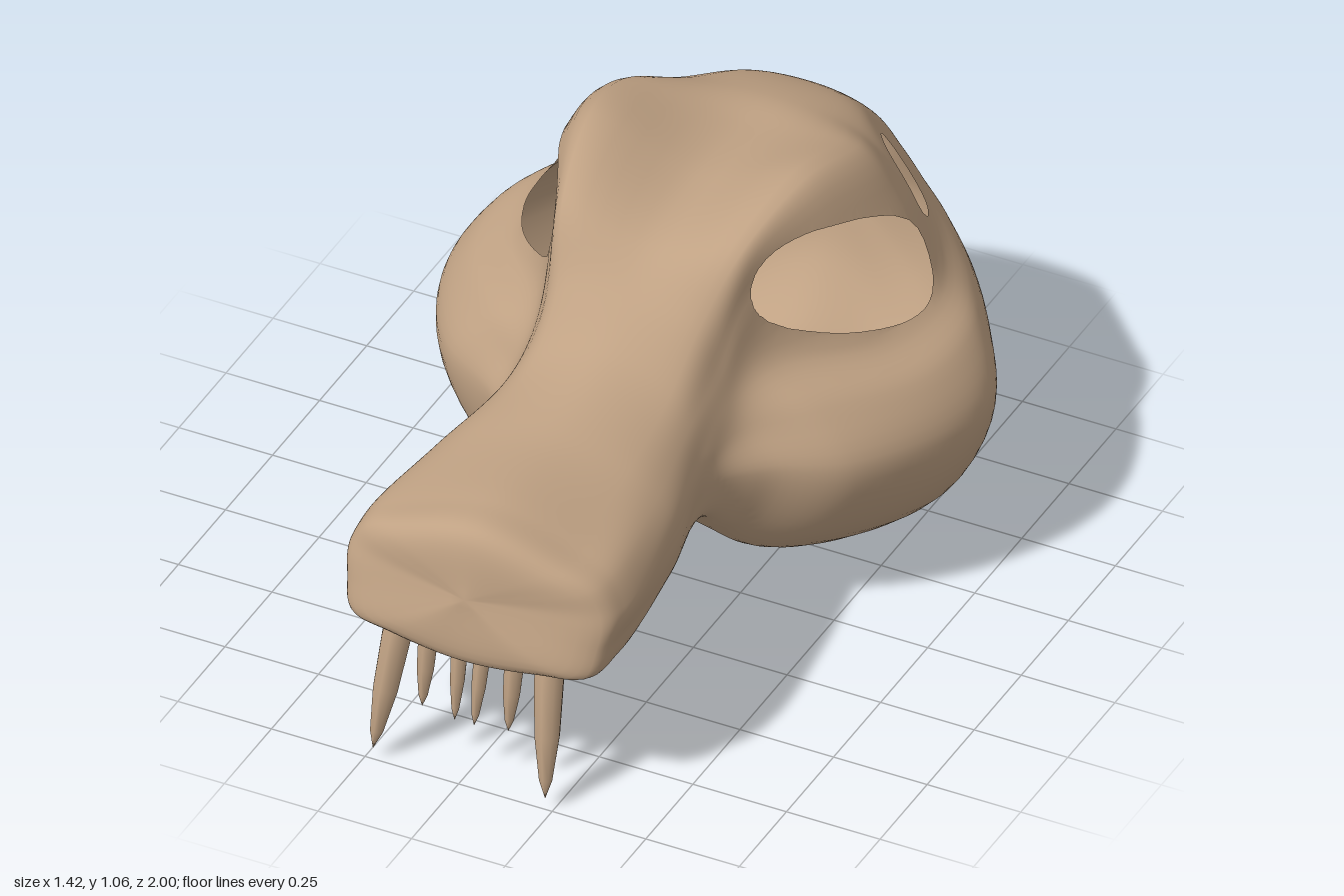
import * as THREE from 'three';
import { mergeVertices } from 'three/addons/utils/BufferGeometryUtils.js';

const bone = new THREE.MeshStandardMaterial({ color: 0xbfa183, side: THREE.DoubleSide });

// Lengthwise feature lines [x, y, z], running from the nose tip to the back of the skull
const NOSE = [0, 0.52, 0.97];
const BACK = [0, 0.52, -1];
const lines = {};
const line = (name, ...pts) => {
  lines[name] = new THREE.CatmullRomCurve3([NOSE, ...pts, BACK].map(p => new THREE.Vector3(...p)));
};
line('crown', [0, 0.68, 0.92], [0, 0.70, 0.8], [0, 0.70, 0.5], [0, 0.755, 0.25], [0, 0.85, 0.1], [0, 0.935, -0.04],
  [0, 0.97, -0.27], [0, 0.97, -0.5], [0, 0.965, -0.65], [0, 0.88, -0.85], [0, 0.76, -0.945]);
line('brow', [0.2, 0.63, 0.91], [0.22, 0.64, 0.8], [0.2, 0.66, 0.5], [0.18, 0.7, 0.25], [0.19, 0.82, 0.1], [0.24, 0.98, -0.03],
  [0.29, 1.06, -0.27], [0.31, 1.01, -0.5], [0.24, 0.94, -0.65], [0.16, 0.875, -0.82], [0.15, 0.75, -0.935]);
line('temple', [0.29, 0.59, 0.9], [0.315, 0.6, 0.81], [0.28, 0.61, 0.5], [0.24, 0.64, 0.25], [0.24, 0.71, 0.1], [0.27, 0.86, -0.03],
  [0.39, 0.9, -0.27], [0.43, 0.87, -0.5], [0.37, 0.85, -0.63], [0.23, 0.8, -0.82], [0.21, 0.69, -0.935]);
line('socketLip', [0.325, 0.54, 0.9], [0.36, 0.53, 0.82], [0.32, 0.56, 0.5], [0.27, 0.58, 0.25], [0.27, 0.63, 0.1], [0.31, 0.68, -0.03],
  [0.48, 0.65, -0.27], [0.525, 0.66, -0.5], [0.465, 0.68, -0.64], [0.32, 0.68, -0.83], [0.25, 0.62, -0.945]);
line('cheekbone', [0.335, 0.5, 0.91], [0.365, 0.5, 0.83], [0.33, 0.52, 0.5], [0.285, 0.54, 0.25], [0.31, 0.55, 0.1], [0.45, 0.58, -0.03],
  [0.61, 0.57, -0.27], [0.63, 0.58, -0.48], [0.56, 0.58, -0.64], [0.4, 0.58, -0.84], [0.27, 0.56, -0.955]);
line('cheek', [0.33, 0.45, 0.925], [0.355, 0.45, 0.83], [0.33, 0.46, 0.5], [0.29, 0.48, 0.25], [0.37, 0.46, 0.11], [0.55, 0.44, -0.02],
  [0.69, 0.43, -0.27], [0.705, 0.43, -0.44], [0.61, 0.43, -0.62], [0.43, 0.46, -0.85], [0.28, 0.48, -0.955]);
line('jowl', [0.31, 0.38, 0.95], [0.335, 0.38, 0.83], [0.3, 0.38, 0.5], [0.27, 0.39, 0.25], [0.31, 0.31, 0.13], [0.46, 0.23, -0.02],
  [0.62, 0.21, -0.27], [0.61, 0.19, -0.47], [0.52, 0.19, -0.64], [0.38, 0.27, -0.83], [0.24, 0.35, -0.94]);
line('keel', [0.2, 0.365, 0.97], [0.2, 0.385, 0.83], [0.18, 0.39, 0.5], [0.2, 0.38, 0.25], [0.22, 0.28, 0.14], [0.27, 0.15, 0],
  [0.3, 0.04, -0.25], [0.32, 0, -0.5], [0.3, 0.035, -0.65], [0.24, 0.15, -0.81], [0.15, 0.29, -0.92]);
line('base', [0, 0.345, 0.975], [0, 0.40, 0.83], [0, 0.42, 0.5], [0, 0.40, 0.25], [0, 0.37, 0.12], [0, 0.3, 0],
  [0, 0.15, -0.25], [0, 0.15, -0.5], [0, 0.17, -0.68], [0, 0.2, -0.8], [0, 0.32, -0.93]);

// Tilted rounded outline: negative inside, positive outside
function oval(a, b, ra, rb, tilt = 0, power = 2.3) {
  const c = Math.cos(tilt), s = Math.sin(tilt);
  return Math.abs((a * c + b * s) / ra) ** power + Math.abs((b * c - a * s) / rb) ** power - 1;
}

// Openings: eye sockets, temple holes, and the egg-shaped gap between the jowls
function solidness(p) {
  let f = 1;
  if (Math.abs(p.x) > 0.12) {
    f = Math.min(f, oval(p.z + 0.28, p.y - 0.805, 0.265, 0.135, 0.3));
    f = Math.min(f, oval(p.z + 0.72, p.y - 0.79, 0.1, 0.075, 0.35));
  }
  if (p.y < 0.42) f = Math.min(f, oval(p.x, p.z + 0.34, 0.25 - 0.15 * (p.z + 0.34), 0.42));
  return f;
}

// Keep only the part of a triangle outside every opening
function clip(tri) {
  const out = [];
  tri.forEach((a, i) => {
    const b = tri[(i + 1) % 3];
    const fa = solidness(a), fb = solidness(b);
    if (fa >= 0) out.push(a);
    if ((fa >= 0) !== (fb >= 0)) out.push(a.clone().lerp(b, fa / (fa - fb)));
  });
  return out;
}

// Skull shell: closed cross-sections through the feature lines, lofted nose to back
function skullGeometry() {
  const ROWS = 108, COLS = 96;
  const half = Object.values(lines);
  const rings = [];
  for (let i = 0; i <= ROWS; i++) {
    const side = half.map(c => c.getPoint(i / ROWS));
    const mirrored = side.slice(1, -1).reverse().map(p => new THREE.Vector3(-p.x, p.y, p.z));
    const section = new THREE.CatmullRomCurve3([...side, ...mirrored], true);
    rings.push(Array.from({ length: COLS }, (_, j) => section.getPoint(j / COLS)));
  }
  const pos = [];
  const add = (...tri) => {
    const poly = clip(tri);
    for (let k = 1; k < poly.length - 1; k++) {
      const [a, b, c] = [poly[0], poly[k], poly[k + 1]];
      if (new THREE.Triangle(a, b, c).getArea() < 1e-9) continue;
      for (const p of [a, b, c]) pos.push(p.x, p.y, p.z);
    }
  };
  for (let i = 0; i < ROWS; i++) {
    for (let j = 0; j < COLS; j++) {
      const n = (j + 1) % COLS;
      add(rings[i][j], rings[i][n], rings[i + 1][j]);
      add(rings[i][n], rings[i + 1][n], rings[i + 1][j]);
    }
  }
  let geo = new THREE.BufferGeometry();
  geo.setAttribute('position', new THREE.Float32BufferAttribute(pos, 3));
  geo = mergeVertices(geo, 1e-4);
  geo.computeVertexNormals();
  return geo;
}

// Pointed tooth running from root to tip
function tooth(name, root, tip, radius) {
  const a = new THREE.Vector3(...root), b = new THREE.Vector3(...tip);
  const length = a.distanceTo(b);
  const profile = [[0, 0], [0.45, 0.12], [0.85, 0.4], [1, 0.75], [0.9, 1]]
    .map(([r, t]) => new THREE.Vector2(r * radius, t * length));
  const mesh = new THREE.Mesh(new THREE.LatheGeometry(profile, 8), bone);
  mesh.position.copy(b);
  mesh.quaternion.setFromUnitVectors(new THREE.Vector3(0, 1, 0), a.sub(b).normalize());
  mesh.name = name;
  return mesh;
}

export function createModel() {
  const model = new THREE.Group();
  model.name = 'animalSkull';

  const skull = new THREE.Mesh(skullGeometry(), bone);
  skull.name = 'skull';
  model.add(skull);

  // Teeth, mirrored left and right
  const teeth = new THREE.Group();
  teeth.name = 'teeth';
  for (const [s, side] of [[1, 'left'], [-1, 'right']]) {
    teeth.add(tooth(side + 'Fang', [s * 0.195, 0.42, 0.9], [s * 0.23, 0.03, 0.998], 0.038));
    teeth.add(tooth(side + 'OuterIncisor', [s * 0.115, 0.42, 0.92], [s * 0.115, 0.17, 0.965], 0.026));
    teeth.add(tooth(side + 'InnerIncisor', [s * 0.032, 0.42, 0.92], [s * 0.026, 0.16, 0.97], 0.022));
    [[0.45, 0.225], [0.33, 0.25], [0.22, 0.245]].forEach(([z, y], i) =>
      teeth.add(tooth(side + 'CheekTooth' + (i + 1), [s * 0.19, 0.42, z], [s * 0.19, y, z + 0.02], 0.025)));
  }
  model.add(teeth);
  return model;
}
